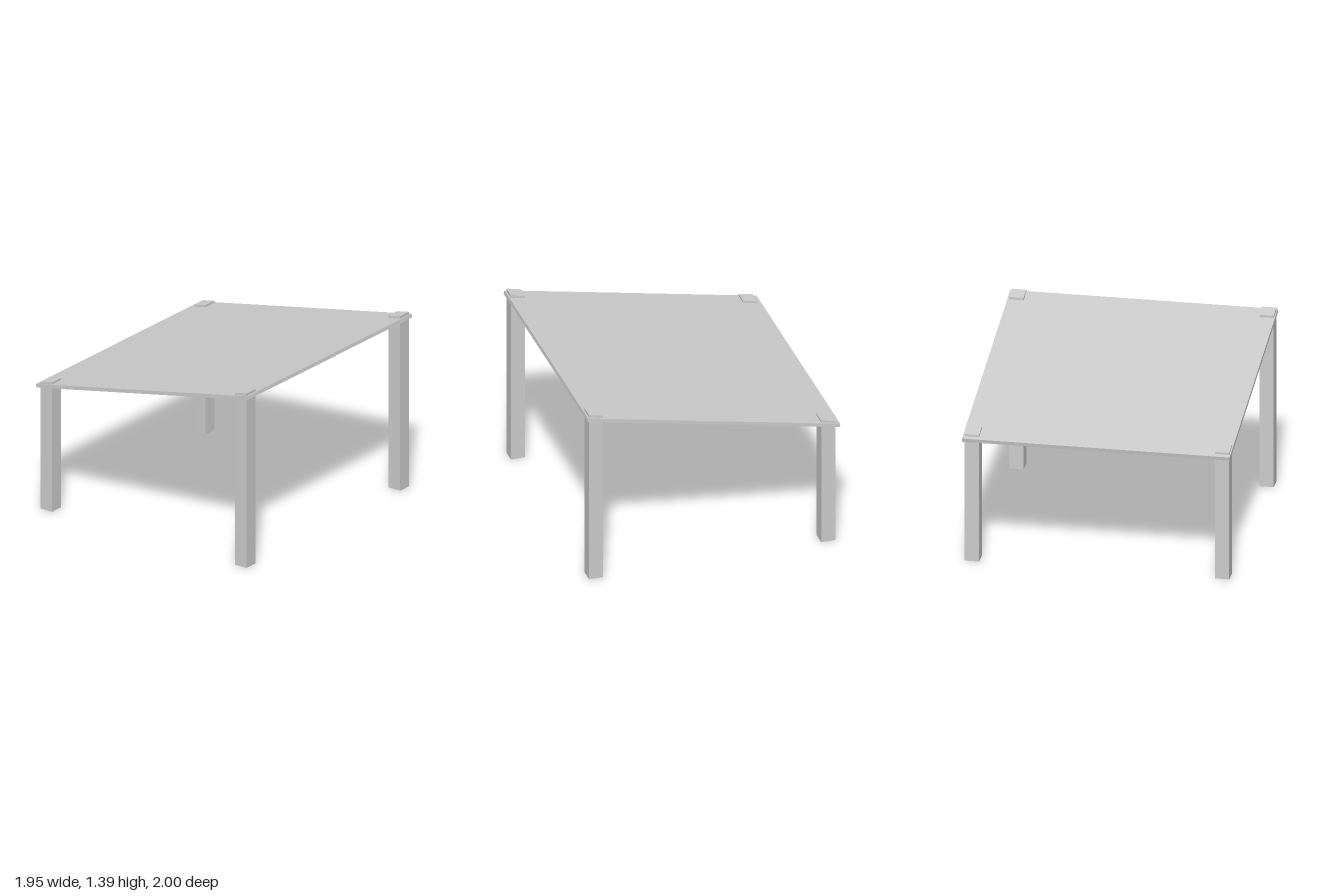
import * as THREE from 'three';

export function createModel() {
  const model = new THREE.Group();
  const material = new THREE.MeshStandardMaterial({ color: 0xcccccc, flatShading: true });
  const slope = 0.198;
  const angle = Math.atan(slope);
  const midY = 1.163;
  const thickness = 0.028;

  const add = (geometry, name, x, y, z) => {
    const mesh = new THREE.Mesh(geometry, material);
    mesh.name = name;
    mesh.position.set(x, y, z);
    model.add(mesh);
    return mesh;
  };

  // Thin sloping top, rising towards +x
  const top = add(new THREE.BoxGeometry(1.986, thickness, 2), 'tableTop', 0, midY, 0);
  top.rotation.z = angle;

  // Square legs pass through the top and end in a cap parallel to it
  const size = 0.108;
  const surfaceY = (x) => midY + thickness / 2 / Math.cos(angle) + slope * x;
  const addLeg = (name, x, z, rise) => {
    const geometry = new THREE.BoxGeometry(size, 1, size).translate(0, 0.5, 0);
    const p = geometry.attributes.position;
    for (let i = 0; i < p.count; i++) {
      if (p.getY(i) > 0.5) p.setY(i, surfaceY(x + p.getX(i)) + rise);
    }
    geometry.computeVertexNormals();
    add(geometry, name, x, 0, z);
  };
  for (const [end, z] of [['front', 0.937], ['back', -0.932]]) {
    addLeg(end + 'RightLeg', -0.888, z, 0.016);
    addLeg(end + 'LeftLeg', 0.904, z, 0.019);
  }

  return model;
}
